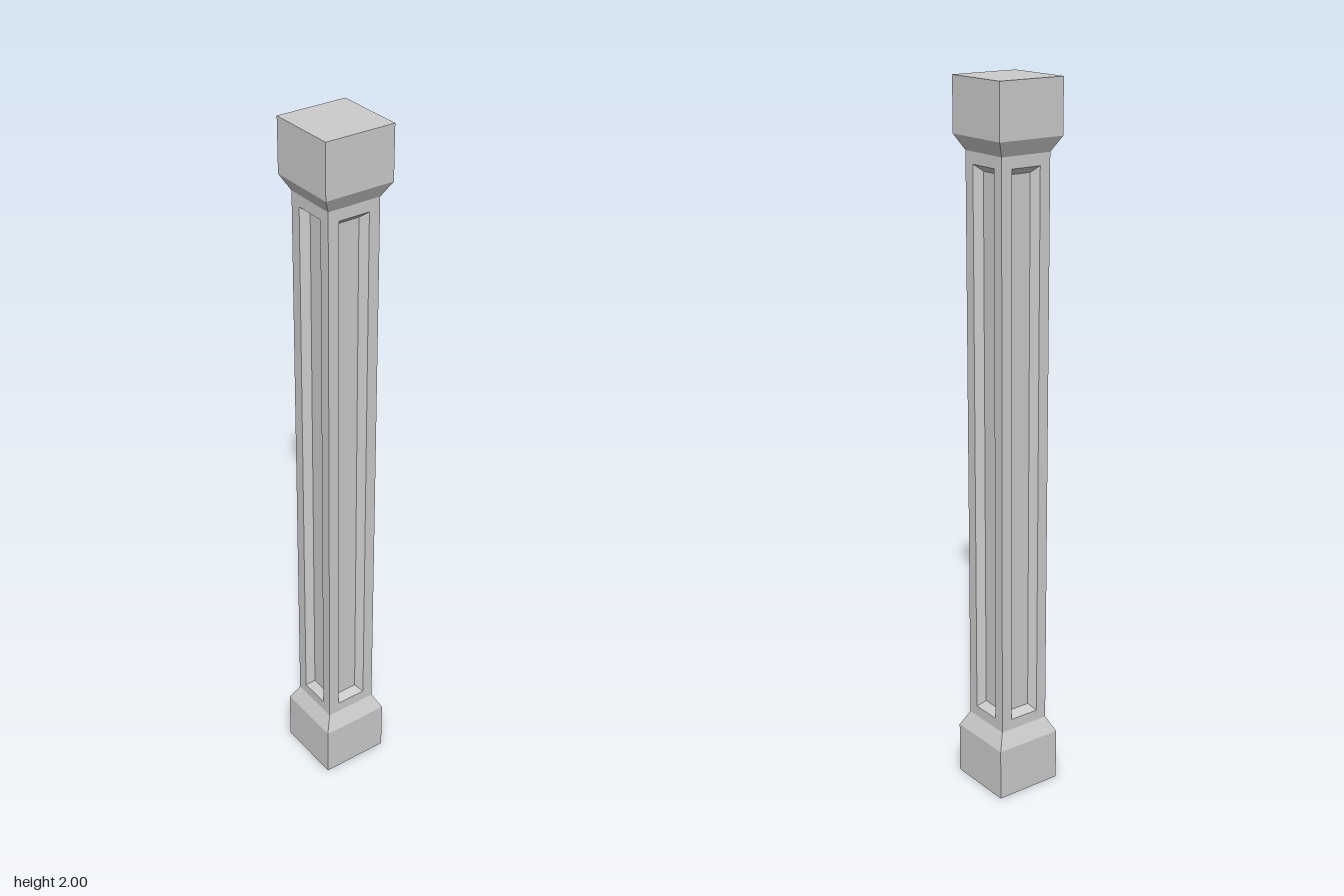
import * as THREE from 'three';

const CAP = 0.1;      // half width of base and capital
const SHAFT = 0.077;  // half width of shaft
const Y0 = 0.195, Y1 = 1.812;

// Square turned profile given as [half width, y], from bottom to top
function squareLathe(profile) {
  const pts = profile.map(([r, y]) => new THREE.Vector2(r * Math.SQRT2, y));
  return new THREE.LatheGeometry(pts, 4, Math.PI / 4);
}

// One shaft face: flat border, bevelled frame and sunken floor from nested rectangles
function panelFace() {
  const rings = [
    [SHAFT, Y0, Y1, SHAFT],
    [0.045, 0.226, 1.78, SHAFT],
    [0.03, 0.243, 1.762, 0.055],
  ]; // half width, bottom, top, depth
  const pos = [], idx = [];
  for (const [w, b, t, z] of rings) pos.push(-w, b, z, w, b, z, w, t, z, -w, t, z);
  const quad = (a, b, c, d) => idx.push(a, b, c, a, c, d);
  for (let k = 0; k < rings.length - 1; k++) {
    for (let i = 0; i < 4; i++) {
      const j = (i + 1) % 4, o = k * 4, n = o + 4;
      quad(o + i, o + j, n + j, n + i);
    }
  }
  const f = (rings.length - 1) * 4;
  quad(f, f + 1, f + 2, f + 3);
  const g = new THREE.BufferGeometry();
  g.setAttribute('position', new THREE.Float32BufferAttribute(pos, 3));
  g.setIndex(idx);
  const flat = g.toNonIndexed();
  flat.computeVertexNormals();
  return flat;
}

export function createModel() {
  const group = new THREE.Group();
  group.name = 'panelledColumn';
  const mat = new THREE.MeshStandardMaterial({ color: 0xcccccc, flatShading: true });
  const add = (name, geo, parent = group) => {
    const m = new THREE.Mesh(geo, mat);
    m.name = name;
    parent.add(m);
    return m;
  };

  // Base block with a chamfer narrowing to the shaft
  add('base', squareLathe([[0, 0], [CAP, 0], [CAP, 0.15], [SHAFT, Y0]]));

  // Capital block widening from the shaft
  add('capital', squareLathe([[SHAFT, Y1], [CAP, 1.853], [CAP, 2], [0, 2]]));

  // Four identical recessed-panel sides
  const shaft = new THREE.Group();
  shaft.name = 'shaft';
  const face = panelFace();
  ['front', 'left', 'back', 'right'].forEach((side, i) => {
    add(side + 'Panel', face, shaft).rotation.y = i * Math.PI / 2;
  });
  group.add(shaft);

  return group;
}
